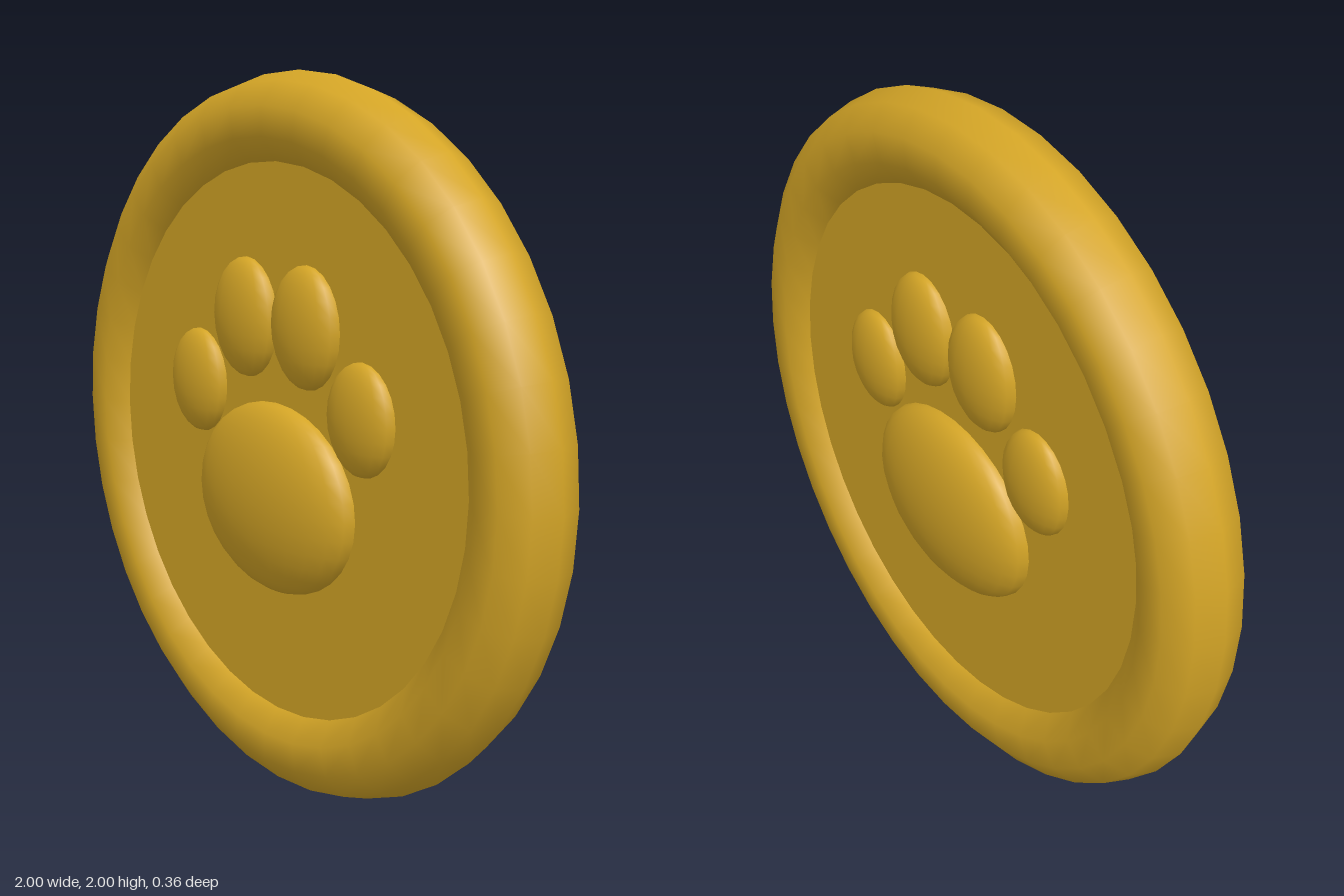
import * as THREE from 'three';

export function createModel() {
  const model = new THREE.Group();
  model.name = 'pawMedallion';
  const gold = new THREE.MeshStandardMaterial({ color: 0xd4a526 });
  gold.name = 'gold';

  const add = (name, geometry, x, y, z) => {
    const mesh = new THREE.Mesh(geometry, gold);
    mesh.name = name;
    mesh.position.set(x, y, z);
    model.add(mesh);
    return mesh;
  };

  // Rounded rim and the recessed disc inside it
  const faceZ = 0.076;
  add('rim', new THREE.TorusGeometry(0.87, 0.13, 10, 40), 0, 1, 0);
  add('disc', new THREE.CylinderGeometry(0.87, 0.87, faceZ * 2, 40).rotateX(Math.PI / 2), 0, 1, 0);

  // Paw pads: name, x, y, and the three radii
  const pads = [
    ['mainPad', 0, 0.85, 0.34, 0.266, 0.104],
    ['leftInnerToe', 0.134, 1.337, 0.139, 0.166, 0.06],
    ['rightInnerToe', -0.134, 1.337, 0.139, 0.166, 0.06],
    ['leftOuterToe', 0.365, 1.128, 0.13, 0.15, 0.054],
    ['rightOuterToe', -0.365, 1.128, 0.13, 0.15, 0.054],
  ];

  // The same paw is raised on both faces
  for (const [side, sign] of [['front', 1], ['back', -1]]) {
    for (const [name, x, y, rx, ry, rz] of pads) {
      const main = name === 'mainPad';
      const ball = new THREE.SphereGeometry(1, main ? 24 : 16, main ? 16 : 12).scale(rx, ry, rz);
      add(`${side} ${name}`, ball, x, y, sign * faceZ);
    }
  }
  return model;
}
